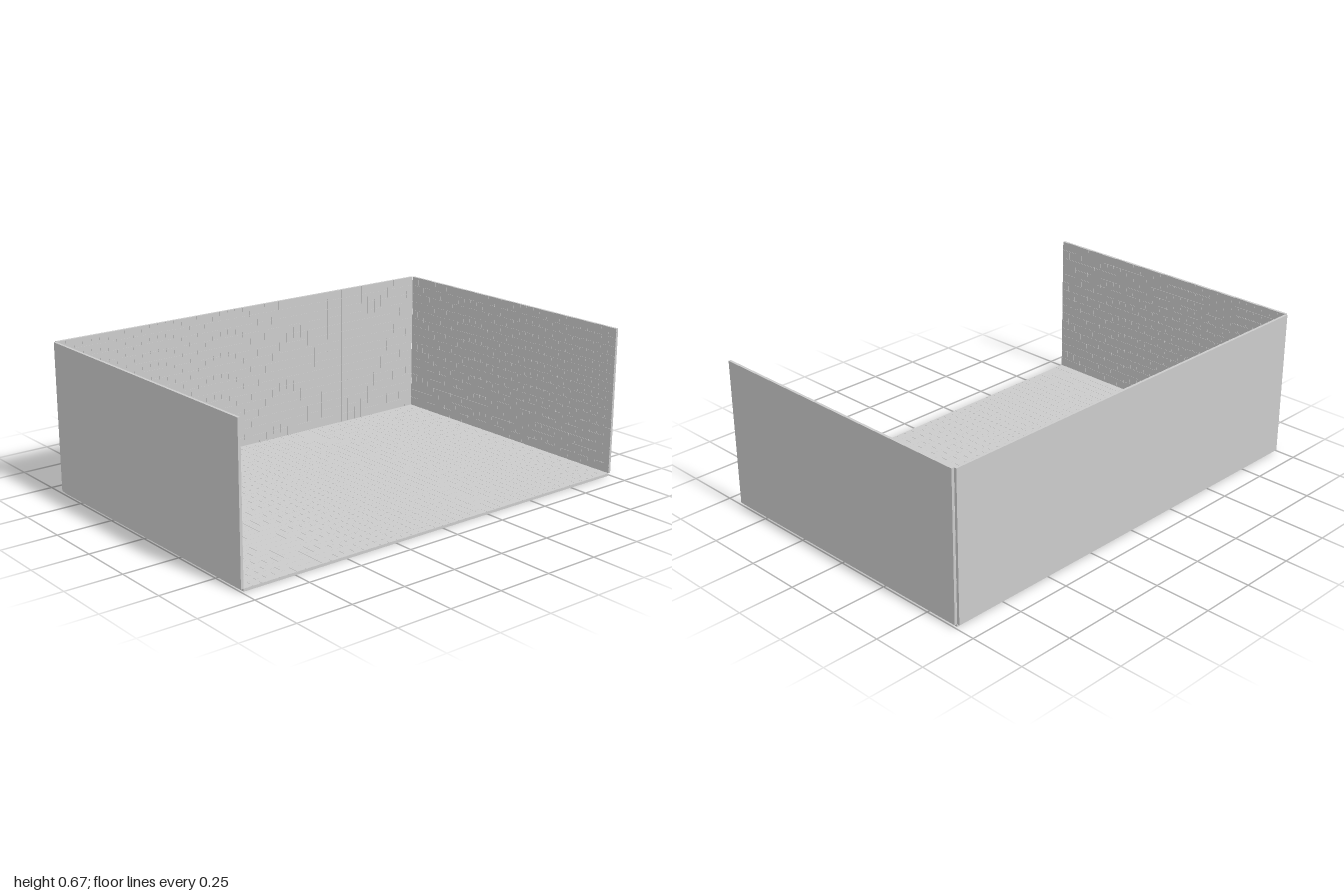
import * as THREE from 'three';
import { mergeGeometries } from 'three/addons/utils/BufferGeometryUtils.js';

const PITCH = 0.0412;      // mosaic tile spacing
const GAP = 0.0006;        // grout line between tiles
const THICK = 0.0122;      // whole panel thickness
const TILE = 0.001;        // height of the tiles on the backing

// Tiled panel: lies in the xy plane, tiles face +z, back face at z = 0
function tiledPanel(name, cols, rows, material) {
  const panel = new THREE.Group();
  panel.name = name;
  const w = cols * PITCH, h = rows * PITCH, depth = THICK - TILE;

  const backing = new THREE.Mesh(new THREE.BoxGeometry(w, h, depth), material);
  backing.name = name + 'Backing';
  backing.position.z = depth / 2;

  const tiles = [];
  for (let i = 0; i < cols; i++) {
    for (let j = 0; j < rows; j++) {
      const tile = new THREE.BoxGeometry(PITCH - GAP, PITCH - GAP, TILE);
      tile.translate((i + 0.5) * PITCH - w / 2, (j + 0.5) * PITCH - h / 2, depth + TILE / 2);
      tiles.push(tile);
    }
  }
  const mosaic = new THREE.Mesh(mergeGeometries(tiles), material);
  mosaic.name = name + 'Tiles';
  panel.add(backing, mosaic);
  return panel;
}

export function createModel() {
  const model = new THREE.Group();
  model.name = 'tiledRoom';
  const material = new THREE.MeshStandardMaterial({ color: 0xcccccc });
  const cols = 48, rows = 32, wallRows = 16;
  const halfW = cols * PITCH / 2, wallY = THICK + wallRows * PITCH / 2;
  const midZ = THICK / 2;  // floor and side walls sit forward of the back wall

  // Floor
  const floor = tiledPanel('floor', cols, rows, material);
  floor.rotation.x = -Math.PI / 2;
  floor.position.z = midZ;
  model.add(floor);

  // Back wall, standing behind the floor edge
  const backWall = tiledPanel('backWall', cols, wallRows, material);
  backWall.position.set(0, wallY, midZ - rows * PITCH / 2 - THICK);
  model.add(backWall);

  // Side walls, just outside the floor, tiles facing inward
  for (const [name, side] of [['leftWall', 1], ['rightWall', -1]]) {
    const wall = tiledPanel(name, rows, wallRows, material);
    wall.rotation.y = -side * Math.PI / 2;
    wall.position.set(side * (halfW + THICK), wallY, midZ);
    model.add(wall);
  }
  return model;
}
